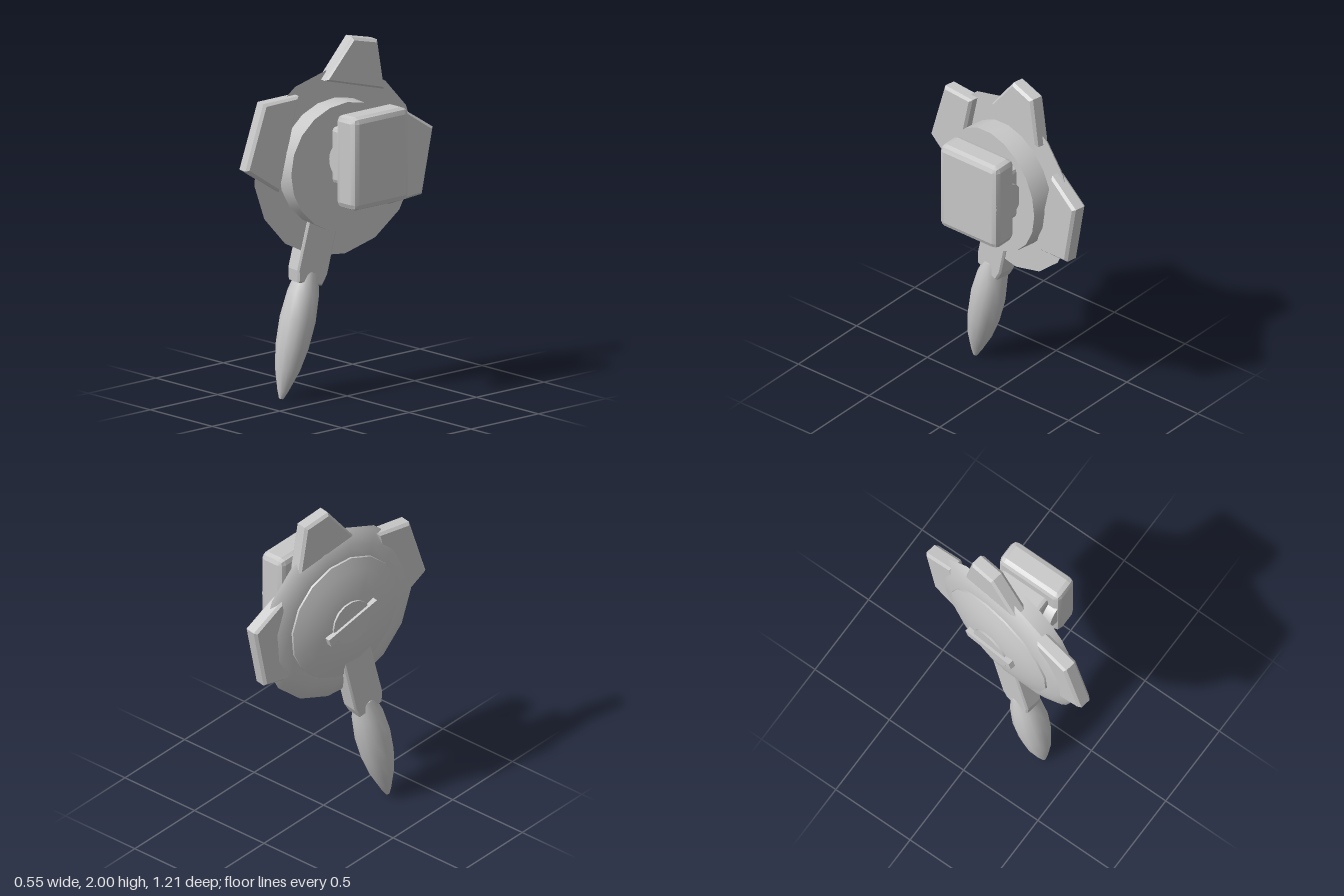
import * as THREE from 'three';
import { toCreasedNormals } from 'three/addons/utils/BufferGeometryUtils.js';
import { RoundedBoxGeometry } from 'three/addons/geometries/RoundedBoxGeometry.js';

export function createModel() {
  const root = new THREE.Group();
  root.name = 'wheelWithLever';
  const grey = new THREE.MeshStandardMaterial({ color: 0xc8c8c8 });
  grey.name = 'plain grey';

  const add = (parent, name, geometry, crease = 0.6) => {
    const mesh = new THREE.Mesh(toCreasedNormals(geometry, crease), grey);
    mesh.name = name;
    parent.add(mesh);
    return mesh;
  };
  // Round part about the local x axis; profile is [radius, x] from the outer (-x) side or the rim
  const turned = (points, sides, start = 0) => {
    const profile = points.map(([r, x]) => new THREE.Vector2(r, -x));
    return new THREE.LatheGeometry(profile, sides, start).rotateZ(Math.PI / 2);
  };

  // Everything on the wheel shares one axis, turned ten degrees from x
  const wheel = new THREE.Group();
  wheel.name = 'wheel';
  wheel.position.set(0.03, 1.3, 0.025);
  wheel.rotation.y = -Math.PI / 18;
  root.add(wheel);

  // Disc with tapered rim, raised dome, hub and drum
  const start = THREE.MathUtils.degToRad(263);
  add(wheel, 'disc', turned([[0, -0.125], [0.527, -0.125], [0.505, -0.145], [0.44, -0.172], [0.37, -0.185], [0, -0.185]], 16, start));
  add(wheel, 'dome', turned([[0.375, -0.17], [0.37, -0.195], [0.3, -0.218], [0.2, -0.24], [0.12, -0.247], [0, -0.247]], 16, start));
  add(wheel, 'hub', turned([[0.13, -0.23], [0.13, -0.258], [0, -0.258]], 16));
  add(wheel, 'drum', turned([[0, 0], [0.364, 0], [0.364, -0.14]], 20));

  // Bar across the hub
  const bar = add(wheel, 'hubBar', new THREE.BoxGeometry(0.04, 0.05, 0.36));
  bar.position.x = -0.254;
  bar.rotation.x = -0.35;

  // Three bevelled fins, corners as [z, y]
  const fins = {
    topFin: [[-0.08, 2.0], [-0.24, 1.965], [-0.285, 1.68], [0.095, 1.777]],
    frontFin: [[0.26, 1.715], [0.485, 1.70], [0.6, 1.335], [0.385, 1.19]],
    backFin: [[-0.4, 1.555], [-0.595, 1.425], [-0.525, 1.055], [-0.265, 1.02]],
  };
  for (const [name, corners] of Object.entries(fins)) {
    const shape = new THREE.Shape(corners.map(([z, y]) => new THREE.Vector2(-(z - 0.005) / 0.985, y - 1.3)));
    const b = 0.015;
    const fin = new THREE.ExtrudeGeometry(shape, {
      depth: 0.09 - 2 * b, bevelEnabled: true, bevelSize: b, bevelThickness: b, bevelOffset: -b, bevelSegments: 1,
    }).rotateY(Math.PI / 2);
    add(wheel, name, fin, 0.3).position.x = -0.165 + b;
  }

  // Lever: flat arm and spindle-shaped handle
  const lever = new THREE.Group();
  lever.name = 'lever';
  lever.position.set(-0.165, -0.62, 0.157);
  lever.rotation.x = -0.242;
  wheel.add(lever);
  const arm = new THREE.Shape([[-0.08, -0.045], [-0.1, 0.02], [-0.098, 0.4], [-0.05, 0.45], [0.05, 0.45],
    [0.098, 0.4], [0.1, 0.02], [0.08, -0.045]].map(([x, y]) => new THREE.Vector2(x, y)));
  add(lever, 'leverArm', new THREE.ExtrudeGeometry(arm, {
    depth: 0.09, bevelEnabled: true, bevelSize: 0.01, bevelThickness: 0.01, bevelOffset: -0.01, bevelSegments: 1,
  }).translate(0, 0, -0.045).rotateY(Math.PI / 2), 0.3);
  const handle = [[0, -0.7], [0.012, -0.698], [0.03, -0.655], [0.07, -0.53], [0.092, -0.4], [0.1, -0.25], [0.088, -0.1], [0.06, 0.02], [0, 0.03]];
  add(lever, 'handle', new THREE.LatheGeometry(handle.map(([r, y]) => new THREE.Vector2(r, y)), 12), 0.7);

  // Neck, cross pin and square block
  add(root, 'neck', new RoundedBoxGeometry(0.16, 0.32, 0.31, 1, 0.025), 0.3).position.set(0.08, 1.38, -0.03);
  add(root, 'neckPin', new THREE.CylinderGeometry(0.105, 0.105, 0.39, 24).rotateX(Math.PI / 2))
    .position.set(0.16, 1.375, -0.012);
  add(root, 'block', new RoundedBoxGeometry(0.16, 0.525, 0.41, 1, 0.035), 0.3).position.set(0.195, 1.378, -0.01);

  return root;
}
